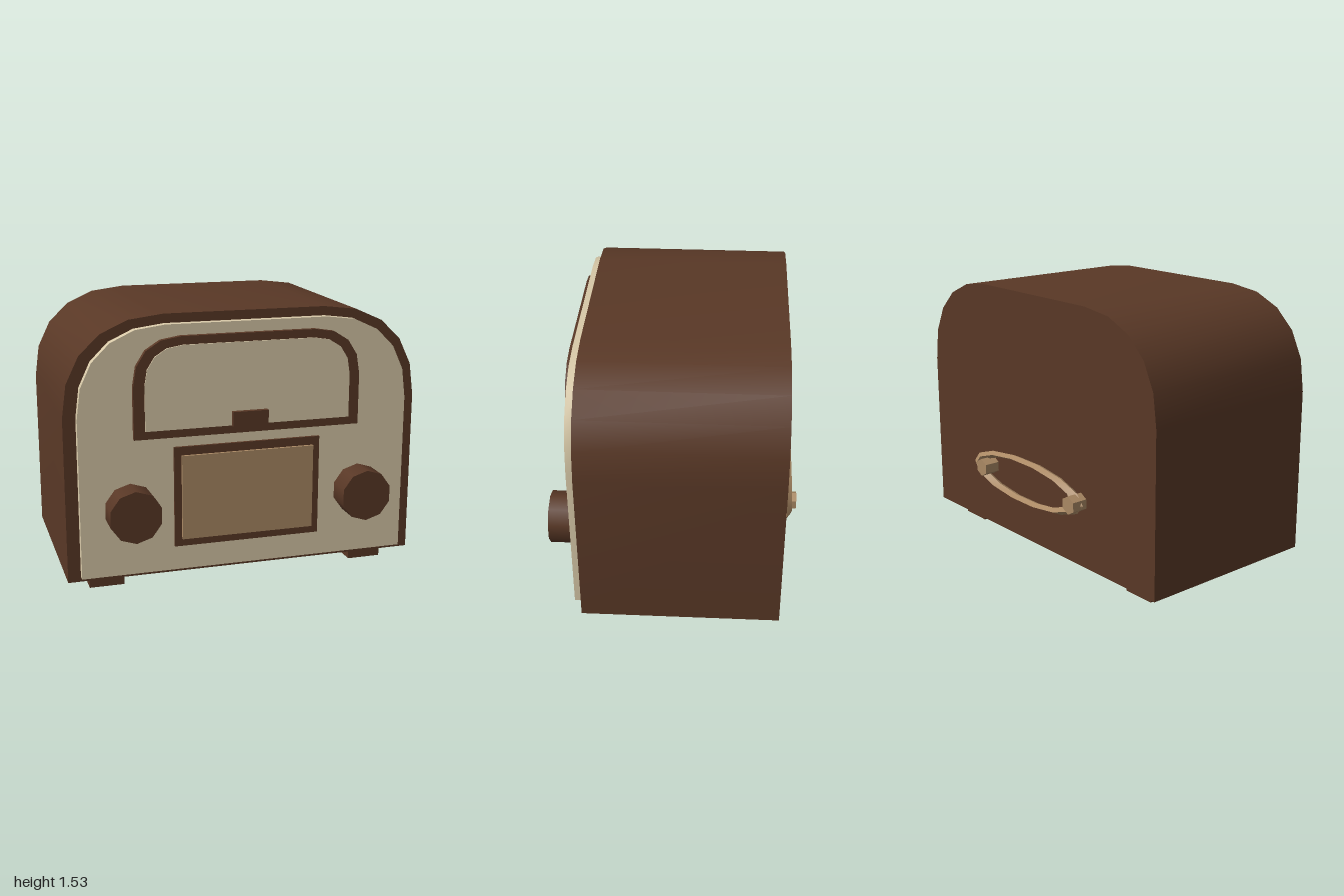
import * as THREE from 'three';
import { toCreasedNormals } from 'three/addons/utils/BufferGeometryUtils.js';

export function createModel() {
  const radio = new THREE.Group();
  radio.name = 'radio';
  const mat = (name, color) => {
    const m = new THREE.MeshStandardMaterial({ color });
    m.name = name;
    return m;
  };
  const wood = mat('dark wood', 0x593826);
  const cream = mat('cream', 0xd8c9a8);
  const tan = mat('tan', 0xaa8964);

  const add = (name, geometry, material, x = 0, y = 0, z = 0) => {
    const mesh = new THREE.Mesh(geometry, material);
    mesh.name = name;
    mesh.position.set(x, y, z);
    radio.add(mesh);
    return mesh;
  };
  const box = (name, material, [x0, x1], [y0, y1], [z0, z1]) =>
    add(name, new THREE.BoxGeometry(x1 - x0, y1 - y0, z1 - z0), material,
      (x0 + x1) / 2, (y0 + y1) / 2, (z0 + z1) / 2);

  // Slab with square bottom corners and rounded top corners (rx by ry)
  const arch = (name, material, w, y0, y1, rx, ry, z0, z1, segments) => {
    const k = 0.62, s = new THREE.Shape();
    s.moveTo(-w, y0);
    s.lineTo(w, y0);
    s.lineTo(w, y1 - ry);
    s.bezierCurveTo(w, y1 - ry * (1 - k), w - rx * (1 - k), y1, w - rx, y1);
    s.lineTo(rx - w, y1);
    s.bezierCurveTo(rx * (1 - k) - w, y1, -w, y1 - ry * (1 - k), -w, y1 - ry);
    s.closePath();
    const g = new THREE.ExtrudeGeometry(s, { depth: z1 - z0, bevelEnabled: false, curveSegments: segments });
    return add(name, toCreasedNormals(g, 0.6), material, 0, 0, z0);
  };

  // Cabinet and front panel
  arch('cabinet', wood, 1, 0.08, 1.53, 0.55, 0.53, -0.6, 0.495, 5);
  arch('frontPanel', cream, 0.93, 0.11, 1.48, 0.48, 0.48, 0.495, 0.54, 5);

  // Upper dial with its pointer tab
  arch('dialFrame', wood, 0.635, 0.875, 1.42, 0.26, 0.26, 0.54, 0.57, 4);
  arch('dialFace', cream, 0.575, 0.92, 1.375, 0.21, 0.21, 0.57, 0.578, 4);
  box('dialTab', wood, [-0.1, 0.1], [0.92, 1.0], [0.578, 0.605]);

  // Speaker
  box('speakerFrame', wood, [-0.415, 0.415], [0.25, 0.815], [0.54, 0.555]);
  box('speakerCloth', tan, [-0.375, 0.375], [0.293, 0.768], [0.555, 0.57]);

  // Knobs and feet
  for (const side of [-1, 1]) {
    const knob = new THREE.CylinderGeometry(0.145, 0.145, 0.145, 10).rotateX(Math.PI / 2);
    add('knob', knob, wood, side * 0.655, 0.485, 0.6125);
    for (const z of [0.337, -0.432]) {
      add('foot', new THREE.BoxGeometry(0.195, 0.08, 0.145), wood, side * 0.772, 0.04, z);
    }
  }

  // Oval ring on the back, held by two hexagonal pegs
  const ring = new THREE.TorusGeometry(1, 0.12, 4, 14).scale(0.46, 0.12, 0.25);
  add('backRing', toCreasedNormals(ring, 0.6), tan, 0.045, 0.455, -0.635);
  for (const side of [-1, 1]) {
    const peg = new THREE.CylinderGeometry(0.0525, 0.0525, 0.09, 6).rotateX(Math.PI / 2);
    add('backPeg', toCreasedNormals(peg, 0.6), tan, side * 0.41, 0.457, -0.645);
  }
  return radio;
}
